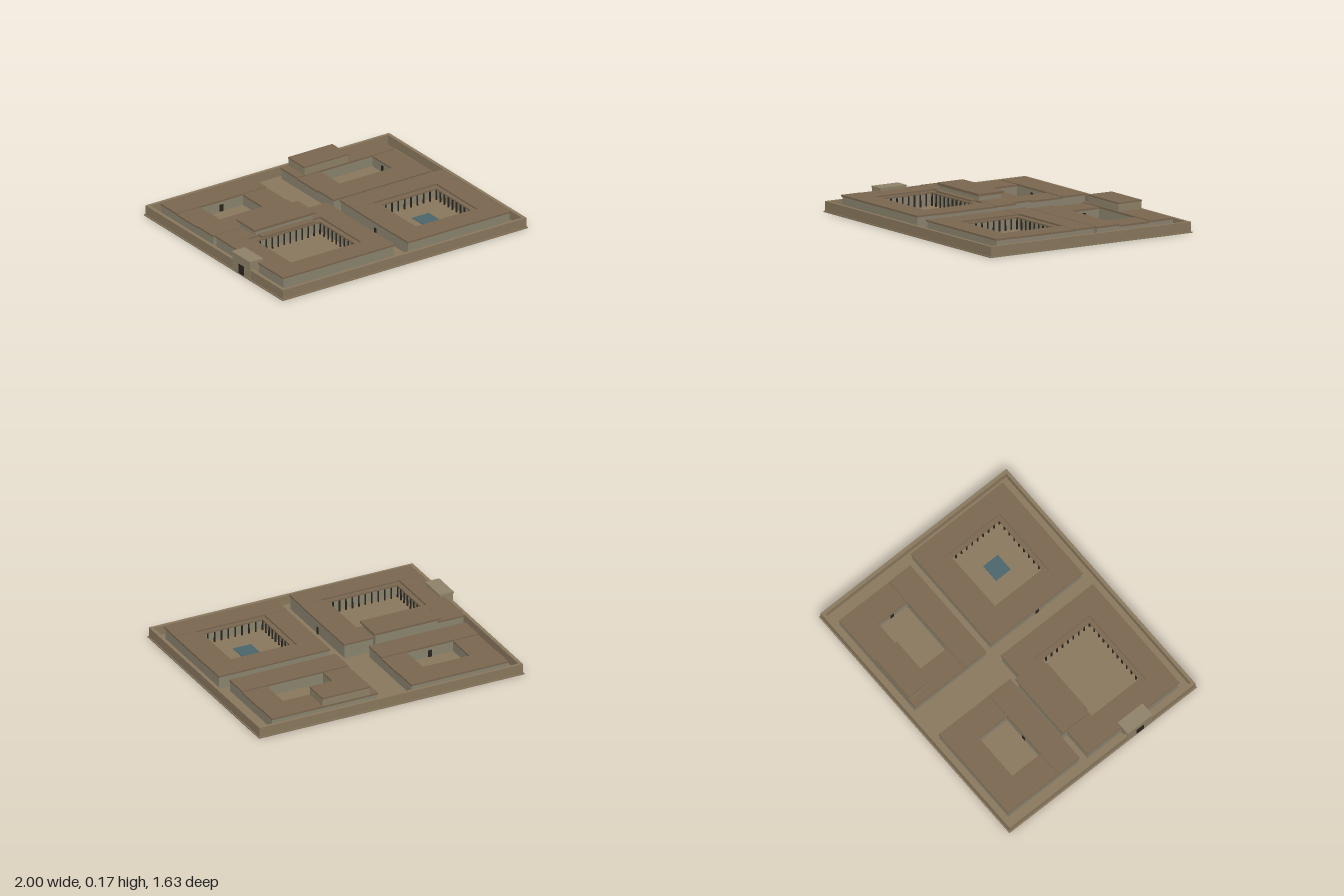
import * as THREE from 'three';

const paint = (color) => new THREE.MeshStandardMaterial({ color });
const EARTH = paint(0x8a785e), ROOF = paint(0x7a674f), WALL = paint(0x8c8470);
const STONE = paint(0x8f8368), DARK = paint(0x2a241d), WATER = paint(0x4a666c);
const FLOOR = 0.008;

// box given by its limits on each axis
function block(parent, name, mat, x0, x1, y0, y1, z0, z1) {
  const mesh = new THREE.Mesh(new THREE.BoxGeometry(x1 - x0, y1 - y0, z1 - z0), mat);
  mesh.position.set((x0 + x1) / 2, (y0 + y1) / 2, (z0 + z1) / 2);
  mesh.name = name;
  parent.add(mesh);
  return mesh;
}

// four wings around a rectangular court: front and back run the full width
function wings(parent, name, mat, o, c, y0, tops) {
  block(parent, name + 'Front', mat, o[0], o[1], y0, tops[0], c[3], o[3]);
  block(parent, name + 'Back', mat, o[0], o[1], y0, tops[1], o[2], c[2]);
  block(parent, name + 'Right', mat, o[0], c[0], y0, tops[2], c[2], c[3]);
  block(parent, name + 'Left', mat, c[1], o[1], y0, tops[2], c[2], c[3]);
}

// limits moved outward by d
const grow = (r, d) => [r[0] - d, r[1] + d, r[2] - d, r[3] + d];

// courtyard house: walls with an overhanging flat roof on each wing
function house(name, outer, court, tops, overhang) {
  const g = new THREE.Group();
  g.name = name;
  const t = 0.012;
  wings(g, 'wall', WALL, grow(outer, -overhang), court, FLOOR, tops.map((y) => y - t));
  const [front, back, side] = tops;
  const roof = (n, x0, x1, top, z0, z1) => block(g, n, ROOF, x0, x1, top - t, top, z0, z1);
  roof('roofFront', outer[0], outer[1], front, court[3], outer[3]);
  roof('roofBack', outer[0], outer[1], back, outer[2], court[2]);
  roof('roofRight', outer[0], court[0], side, court[2], court[3]);
  roof('roofLeft', court[1], outer[1], side, court[2], court[3]);
  return g;
}

// portico roof and evenly spaced columns around a court
function colonnade(parent, court, inner, top) {
  const g = new THREE.Group();
  g.name = 'colonnade';
  parent.add(g);
  wings(g, 'porticoRoof', ROOF, court, inner, top - 0.01, [top, top, top]);
  const geo = new THREE.CylinderGeometry(0.0055, 0.0065, top - 0.01 - FLOOR, 8);
  const [x0, x1, z0, z1] = grow(inner, 0.008);
  const column = (x, z) => {
    const m = new THREE.Mesh(geo, DARK);
    m.name = 'column';
    m.position.set(x, (FLOOR + top - 0.01) / 2, z);
    g.add(m);
  };
  const nx = Math.round((x1 - x0) / 0.05), nz = Math.round((z1 - z0) / 0.05);
  for (let i = 0; i <= nx; i++) {
    const x = x0 + (x1 - x0) * i / nx;
    column(x, z0);
    column(x, z1);
  }
  for (let i = 1; i < nz; i++) {
    const z = z0 + (z1 - z0) * i / nz;
    column(x0, z);
    column(x1, z);
  }
}

// thin dark doorway panel, alongX when the wall runs along x
function door(parent, x, z, alongX, h = 0.05) {
  const a = alongX ? 0.014 : 0.003, b = alongX ? 0.003 : 0.014;
  block(parent, 'doorway', DARK, x - a, x + a, FLOOR, FLOOR + h, z - b, z + b);
}

export function createModel() {
  const model = new THREE.Group();
  model.name = 'walledCompound';

  // ground and enclosing wall
  block(model, 'ground', EARTH, -1, 1, 0, FLOOR, -0.815, 0.815);
  wings(model, 'enclosure', EARTH, [-0.993, 0.993, -0.808, 0.808],
    [-0.968, 0.968, -0.785, 0.785], FLOOR, [0.075, 0.075, 0.075]);

  // large front house on the right, with columned court
  const courtA = [-0.77, -0.18, 0.08, 0.56];
  const a = house('mainHouse', [-0.93, -0.02, -0.08, 0.72], courtA, [0.118, 0.118, 0.116], 0.007);
  colonnade(a, courtA, [-0.735, -0.215, 0.12, 0.53], 0.104);
  door(a, -0.923, 0.32, false);
  door(a, -0.027, 0.32, false);
  model.add(a);

  // raised hall over the back wing, with its own porch
  const hall = new THREE.Group();
  hall.name = 'hall';
  block(hall, 'hallBody', WALL, -0.708, -0.242, FLOOR, 0.15, -0.108, 0.073);
  block(hall, 'hallCornice', ROOF, -0.715, -0.235, 0.147, 0.156, -0.116, 0.079);
  block(hall, 'hallRoof', ROOF, -0.725, -0.225, 0.154, 0.167, -0.125, 0.085);
  block(hall, 'porchRoof', ROOF, -0.685, -0.26, 0.112, 0.124, 0.07, 0.125);
  model.add(hall);

  // front house on the left, with columned court and pool
  const courtB = [0.25, 0.765, 0.08, 0.56];
  const b = house('poolHouse', [0.085, 0.925, -0.08, 0.72], courtB, [0.108, 0.108, 0.106], 0.007);
  colonnade(b, courtB, [0.283, 0.732, 0.12, 0.53], 0.095);
  block(b, 'pool', WATER, 0.44, 0.575, FLOOR, FLOOR + 0.004, 0.26, 0.388);
  door(b, 0.092, 0.33, false);
  model.add(b);

  // two smaller houses at the back
  const c = house('backHouseRight', [-0.91, -0.18, -0.75, -0.13],
    [-0.72, -0.37, -0.56, -0.315], [0.092, 0.09, 0.085], 0.003);
  for (const z of [-0.56, -0.315]) door(c, -0.545, z, true);
  model.add(c);

  const d = house('backHouseLeft', [0.07, 0.87, -0.75, -0.13],
    [0.26, 0.685, -0.56, -0.315], [0.093, 0.09, 0.085], 0.003);
  for (const x of [0.26, 0.685]) door(d, x, -0.44, false);
  block(d, 'upperRoomWalls', STONE, 0.133, 0.487, 0.07, 0.142, -0.748, -0.562);
  block(d, 'upperRoomRoof', ROOF, 0.13, 0.49, 0.142, 0.152, -0.75, -0.56);
  model.add(d);

  // gatehouse set in the enclosing wall
  const gate = new THREE.Group();
  gate.name = 'gatehouse';
  block(gate, 'gateBody', STONE, -0.997, -0.898, FLOOR, 0.128, 0.22, 0.426);
  block(gate, 'gateRoof', STONE, -1, -0.893, 0.127, 0.138, 0.215, 0.43);
  block(gate, 'gateDoor', DARK, -1, -0.99, FLOOR, 0.075, 0.293, 0.353);
  model.add(gate);

  return model;
}
